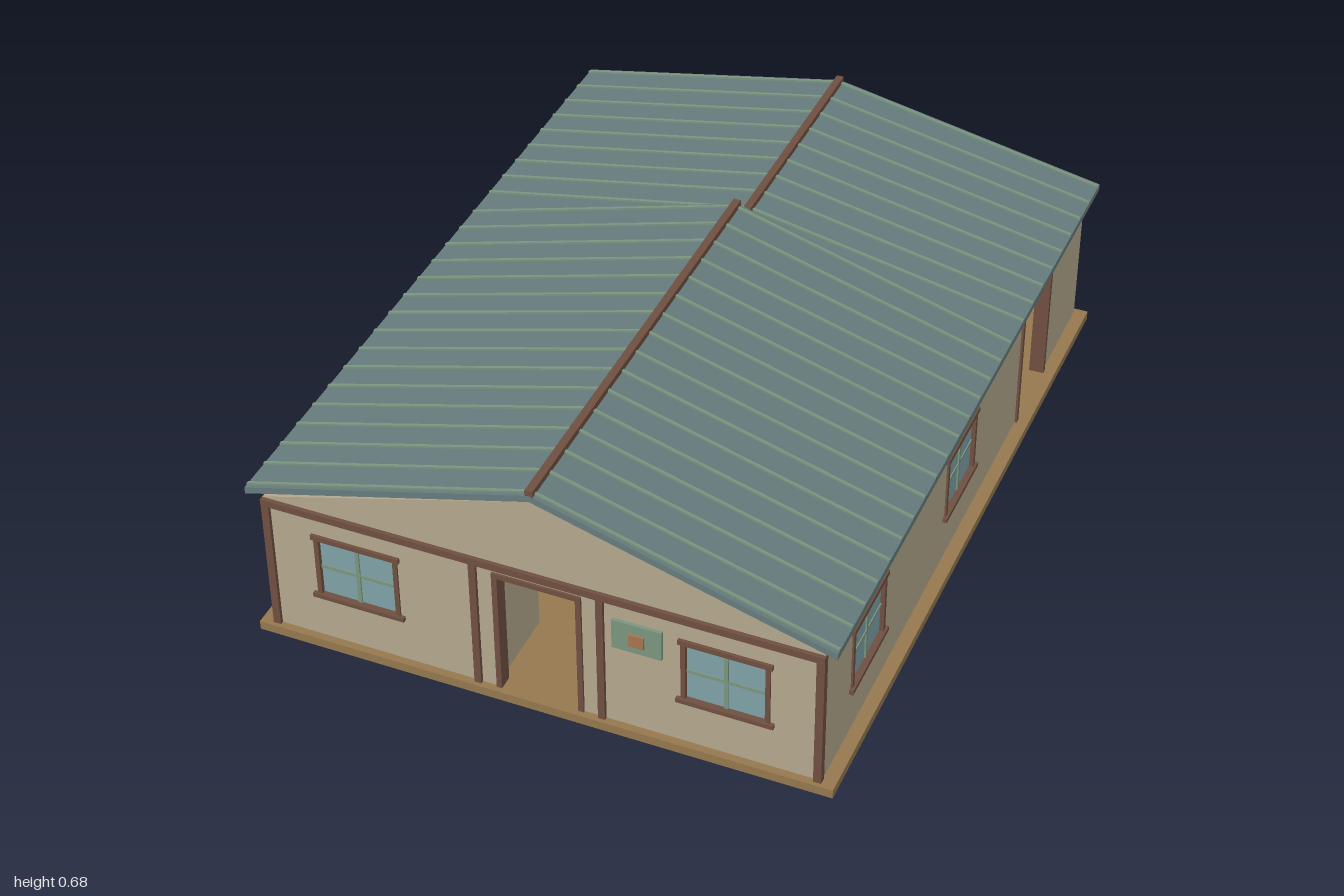
import * as THREE from 'three';

const mat = (name, color) => {
  const m = new THREE.MeshStandardMaterial({ color });
  m.name = name;
  return m;
};

const T = 0.03;        // wall thickness
const FLOOR = 0.025;   // top of the slab
const EAVE = 0.42;     // top of the side walls
const HALF = 0.715;    // half width of the house
const DOOR_TOP = 0.375;

export function createModel() {
  const wallMat = mat('plaster', 0xb3a88d);
  const roofMat = mat('roofing', 0x667b7c);
  const ribMat = mat('sage green', 0x7a957f);
  const trimMat = mat('dark timber', 0x6e4f3f);
  const floorMat = mat('floor', 0x94784f);
  const glassMat = mat('glass', 0x7ea0a6);
  const plaqueMat = mat('copper', 0xa5744f);

  const house = new THREE.Group();
  house.name = 'house';

  const add = (parent, name, geo, material) => {
    const m = new THREE.Mesh(geo, material);
    m.name = name;
    parent.add(m);
    return m;
  };
  // Box given by its limits along each axis
  const box = (parent, name, material, x0, x1, y0, y1, z0, z1) => {
    const m = add(parent, name, new THREE.BoxGeometry(x1 - x0, y1 - y0, z1 - z0), material);
    m.position.set((x0 + x1) / 2, (y0 + y1) / 2, (z0 + z1) / 2);
    return m;
  };

  // A side of the house: local x runs along it, local +z points outward
  const side = (name, turn) => {
    const g = new THREE.Group();
    g.name = name;
    g.rotation.y = turn;
    house.add(g);
    return g;
  };

  // Wall slab from u0 to u1 with an optional gable peak, doors and windows cut out
  const wall = (g, name, dist, u0, u1, { peak, doors = [], windows = [] }) => {
    const s = new THREE.Shape();
    s.moveTo(u0, FLOOR);
    for (const [c, w] of doors) {
      s.lineTo(c - w / 2, FLOOR);
      s.lineTo(c - w / 2, DOOR_TOP);
      s.lineTo(c + w / 2, DOOR_TOP);
      s.lineTo(c + w / 2, FLOOR);
    }
    s.lineTo(u1, FLOOR);
    s.lineTo(u1, EAVE);
    if (peak) s.lineTo((u0 + u1) / 2, peak);
    s.lineTo(u0, EAVE);
    s.closePath();
    for (const c of windows) {
      const h = new THREE.Path();
      h.moveTo(c - 0.102, 0.162);
      h.lineTo(c - 0.102, 0.334);
      h.lineTo(c + 0.102, 0.334);
      h.lineTo(c + 0.102, 0.162);
      h.closePath();
      s.holes.push(h);
    }
    const geo = new THREE.ExtrudeGeometry(s, { depth: T, bevelEnabled: false });
    geo.translate(0, 0, dist - T);
    add(g, name, geo, wallMat);
    windows.forEach((c) => windowUnit(g, c, dist));
    doors.forEach(([c, w]) => doorFrame(g, c, w, dist));
  };

  // Window: glass, crossed bars, jambs, head and a wider sill
  const windowUnit = (parent, c, dist) => {
    const g = new THREE.Group();
    g.name = 'window';
    g.position.set(c, 0, dist);
    parent.add(g);
    box(g, 'glass', glassMat, -0.102, 0.102, 0.162, 0.334, -0.018, -0.006);
    box(g, 'uprightBar', ribMat, -0.005, 0.005, 0.162, 0.334, -0.021, -0.002);
    box(g, 'crossBar', ribMat, -0.102, 0.102, 0.242, 0.251, -0.02, -0.003);
    for (const s of [-1, 1]) {
      const x = s * 0.105;
      box(g, 'jamb', trimMat, x - 0.006, x + 0.006, 0.162, 0.334, -T - 0.004, 0.005);
    }
    box(g, 'head', trimMat, -0.117, 0.117, 0.332, 0.346, -T - 0.005, 0.008);
    box(g, 'sill', trimMat, -0.122, 0.122, 0.152, 0.164, -T - 0.005, 0.011);
  };

  // Door frame around an open doorway
  const doorFrame = (parent, c, w, dist) => {
    const g = new THREE.Group();
    g.name = 'doorFrame';
    g.position.set(c, 0, dist);
    parent.add(g);
    for (const s of [-1, 1]) {
      const x = s * (w / 2 + 0.003);
      box(g, 'jamb', trimMat, x - 0.007, x + 0.007, FLOOR, 0.373, -T - 0.004, 0.006);
    }
    box(g, 'head', trimMat, -w / 2 - 0.01, w / 2 + 0.01, 0.373, 0.387, -T - 0.004, 0.006);
  };

  // Floor slab
  box(house, 'floorSlab', floorMat, -0.75, 0.75, 0, FLOOR, -1, 1);

  // Front wall with posts, tie beam and wall plaque
  const front = side('front', 0);
  wall(front, 'frontWall', 0.98, -HALF, HALF, { peak: 0.635, doors: [[0, 0.208]], windows: [-0.474, 0.474] });
  for (const s of [-1, 1]) {
    const corner = s * 0.707, inner = s * 0.162;
    box(front, 'cornerPost', trimMat, corner - 0.01, corner + 0.01, FLOOR, 0.4, 0.97, 0.99);
    box(front, 'porchPost', trimMat, inner - 0.009, inner + 0.009, FLOOR, 0.4, 0.975, 0.99);
    // Short entry walls behind the front door
    const x = s * 0.128;
    box(front, 'entryWall', wallMat, x - 0.012, x + 0.012, FLOOR, 0.4, 0.74, 0.95);
  }
  box(front, 'tieBeam', trimMat, -0.717, 0.717, 0.4, 0.419, 0.97, 0.991);
  box(front, 'plaqueBoard', ribMat, 0.192, 0.318, 0.267, 0.352, 0.975, 0.989);
  box(front, 'plaqueInset', plaqueMat, 0.237, 0.275, 0.29, 0.325, 0.989, 0.995);

  // Left side (+x): local x is -z
  const left = side('leftSide', Math.PI / 2);
  wall(left, 'frontRoomWall', HALF, -0.95, 0.22, { windows: [-0.69, -0.025] });
  wall(left, 'rearRoomWall', HALF, 0.25, 0.955, { doors: [[0.577, 0.225]] });

  // Right side (-x): local x is z
  const right = side('rightSide', -Math.PI / 2);
  wall(right, 'frontRoomWall', HALF, -0.22, 0.95, { windows: [0.69, 0.025] });
  wall(right, 'rearRoomWall', HALF, -0.955, -0.25, { windows: [-0.75] });

  // Back wall and the cross wall between the two rooms
  const back = side('back', Math.PI);
  wall(back, 'backWall', 0.985, -HALF, HALF, { peak: 0.56, doors: [[0, 0.215]] });
  wall(back, 'crossWall', 0.25, -HALF, HALF, { peak: 0.635, doors: [[0, 0.225]] });

  // Chevron slab along z, given lower and upper heights at eave and ridge
  const chevron = (parent, name, material, eave, ridge, thick, z0, z1) => {
    const s = new THREE.Shape();
    s.moveTo(-0.75, eave);
    s.lineTo(0, ridge);
    s.lineTo(0.75, eave);
    s.lineTo(0.75, eave + thick);
    s.lineTo(0, ridge + thick);
    s.lineTo(-0.75, eave + thick);
    s.closePath();
    const geo = new THREE.ExtrudeGeometry(s, { depth: z1 - z0, bevelEnabled: false });
    geo.translate(0, 0, z0);
    add(parent, name, geo, material);
  };

  // Pitched roof with raised seams and a ridge cap
  const roof = (name, ridge, z0, z1, firstRib, step, ribs) => {
    const g = new THREE.Group();
    g.name = name;
    house.add(g);
    const eave = 0.434;
    chevron(g, 'roofSlab', roofMat, eave, ridge, 0.018, z0, z1);
    for (let i = 0; i < ribs; i++) {
      const z = firstRib + i * step;
      chevron(g, 'roofRib', ribMat, eave + 0.014, ridge + 0.014, 0.009, z - 0.004, z + 0.004);
    }
    box(g, 'ridgeCap', trimMat, -0.01, 0.01, ridge + 0.011, ridge + 0.031, z0, z1);
  };
  roof('frontRoof', 0.651, -0.25, 1, 0.985, -0.0813, 16);
  roof('rearRoof', 0.582, -1, -0.25, -0.985, 0.0813, 9);

  return house;
}
